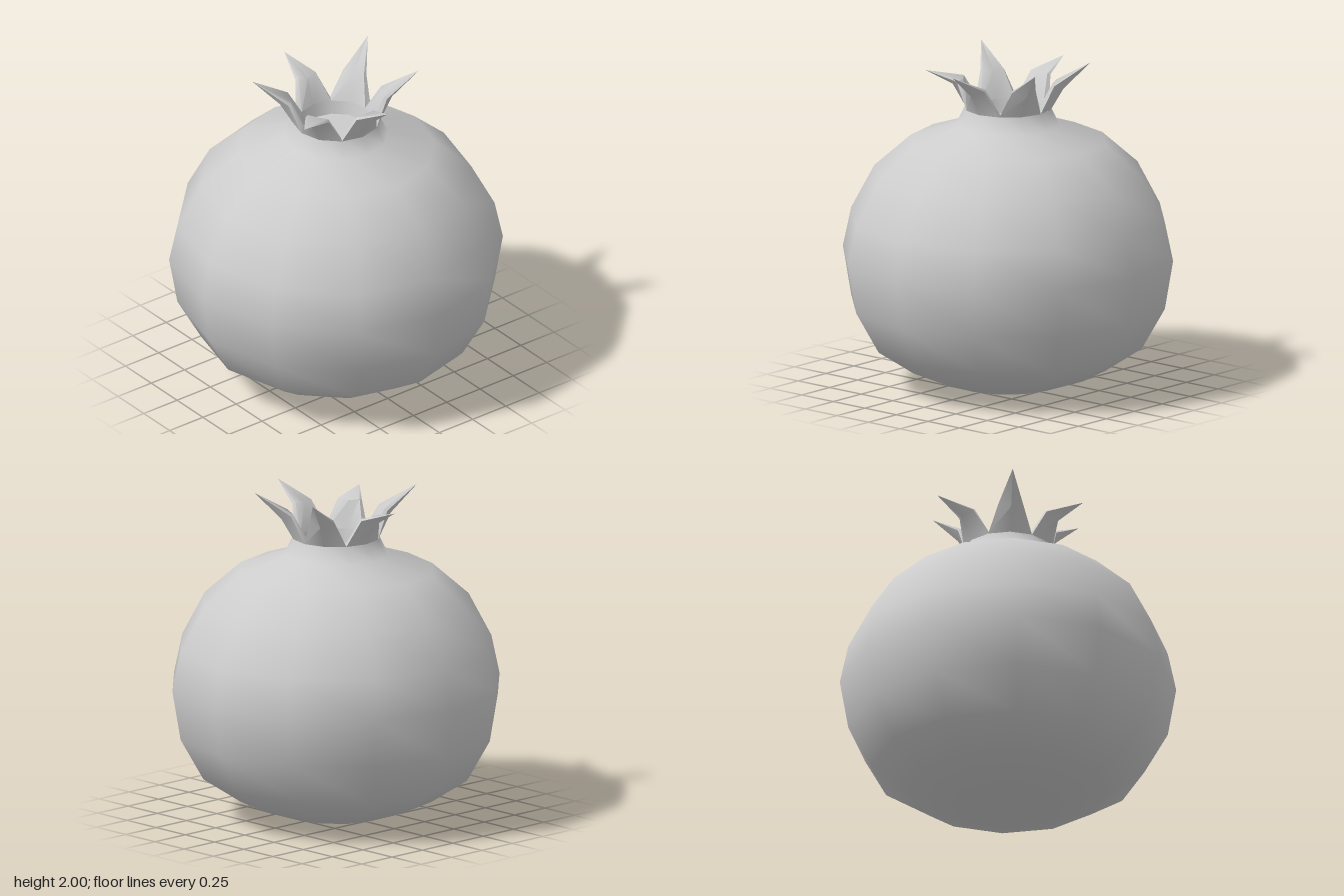
import * as THREE from 'three';
import { toCreasedNormals } from 'three/addons/utils/BufferGeometryUtils.js';

const SIDES = 12;
const material = new THREE.MeshStandardMaterial({ color: 0xcccccc });
const thin = new THREE.MeshStandardMaterial({ color: 0xcccccc, side: THREE.DoubleSide });

function lathe(name, points, mat) {
  const profile = points.map(([r, y]) => new THREE.Vector2(r, y));
  const mesh = new THREE.Mesh(new THREE.LatheGeometry(profile, SIDES), mat);
  mesh.name = name;
  return mesh;
}

// One pointed crown leaf, lofted through six-point sections and facing +z
function sepalGeometry(tipY) {
  const sections = [
    // valley to valley at the neck: outer left, middle, right, then inner right, middle, left
    [[-0.13, 1.7, 0.225], [0, 1.7, 0.26], [0.13, 1.7, 0.225],
      [0.11, 1.7, 0.19], [0, 1.7, 0.22], [-0.11, 1.7, 0.19]],
    // bend, where the leaf turns outwards
    [[-0.075, 1.86, 0.295], [0, 1.83, 0.335], [0.075, 1.86, 0.295],
      [0.065, 1.87, 0.28], [0, 1.86, 0.27], [-0.065, 1.87, 0.28]],
    // tip
    Array.from({ length: 6 }, () => [0, tipY, 0.5]),
  ];
  const index = [];
  for (let s = 0; s < 2; s++) {
    for (let j = 0; j < 6; j++) {
      const a = s * 6 + j, b = s * 6 + (j + 1) % 6;
      index.push(a, b, b + 6);
      if (s === 0) index.push(a, b + 6, a + 6);
    }
  }
  // the last section is a single point, so each side closes with one triangle
  const geometry = new THREE.BufferGeometry();
  geometry.setAttribute('position', new THREE.Float32BufferAttribute(sections.flat(2), 3));
  geometry.setIndex(index);
  return toCreasedNormals(geometry, 1.0);
}

export function createModel() {
  const group = new THREE.Group();
  group.name = 'pomegranate';

  // Round fruit with its short neck
  group.add(lathe('fruit', [
    [0, 0.005], [0.31, 0.02], [0.59, 0.12], [0.81, 0.265], [0.95, 0.515], [1, 0.81],
    [0.95, 1.045], [0.81, 1.31], [0.59, 1.505], [0.31, 1.6], [0.26, 1.7],
  ], material));

  // Hollow inside the neck, with a flat floor
  group.add(lathe('neckInside', [[0.22, 1.7], [0.2, 1.62]], thin));
  const floor = new THREE.Mesh(new THREE.CircleGeometry(0.2, SIDES), thin);
  floor.name = 'neckFloor';
  floor.rotation.x = -Math.PI / 2;
  floor.position.y = 1.62;
  group.add(floor);

  // Six leaves around the neck, starting at front left and going round, with slightly different heights
  const crown = new THREE.Group();
  crown.name = 'crown';
  [1.905, 1.97, 2, 2, 1.93, 2].forEach((tipY, i) => {
    const sepal = new THREE.Mesh(sepalGeometry(tipY), thin);
    sepal.name = `sepal${i + 1}`;
    sepal.rotation.y = Math.PI / 6 + i * Math.PI / 3;
    crown.add(sepal);
  });
  group.add(crown);
  return group;
}
